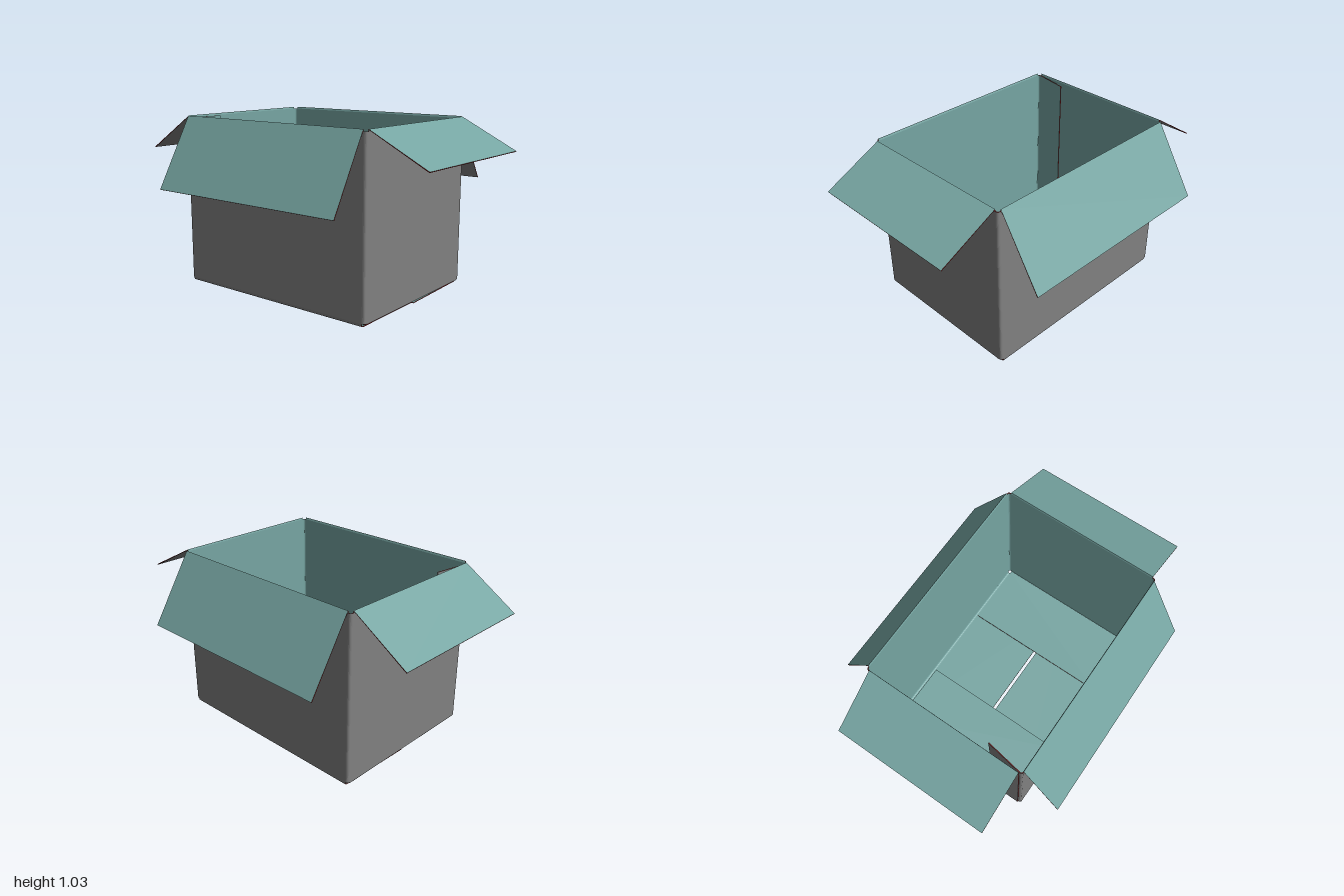
import * as THREE from 'three';

const THICK = 0.005;
const material = (color) => new THREE.MeshStandardMaterial({ color, side: THREE.DoubleSide });
const outerMat = material(0x808080);
const innerMat = material(0x76a5a2);
const edgeMat = material(0x8c1c1c);

// Non-indexed mesh from a list of four-corner faces
function quadMesh(name, quads, mat) {
  const pos = [];
  for (const [a, b, c, d] of quads)
    for (const p of [a, b, c, a, c, d]) pos.push(p.x, p.y, p.z);
  const geo = new THREE.BufferGeometry();
  geo.setAttribute('position', new THREE.Float32BufferAttribute(pos, 3));
  geo.computeVertexNormals();
  const mesh = new THREE.Mesh(geo, mat);
  mesh.name = name;
  return mesh;
}

// Folded board: a path (outer face) thickened to its left and swept from s0 to s1.
// place(u, v, s) puts a path point into space.
function board(name, path, s0, s1, place) {
  const dirs = path.slice(1).map((p, i) => p.clone().sub(path[i]).normalize());
  const inner = path.map((p, i) => {
    const d = dirs[Math.max(i - 1, 0)].clone().add(dirs[Math.min(i, dirs.length - 1)]);
    const n = new THREE.Vector2(-d.y, d.x).normalize();
    return p.clone().addScaledVector(n, THICK);
  });
  const at = (p, s) => place(p.x, p.y, s);
  const outside = [], inside = [], rim = [];
  for (let i = 0; i + 1 < path.length; i++) {
    const [a, b, c, d] = [path[i], path[i + 1], inner[i], inner[i + 1]];
    outside.push([at(a, s0), at(b, s0), at(b, s1), at(a, s1)]);
    inside.push([at(c, s1), at(d, s1), at(d, s0), at(c, s0)]);
    for (const s of [s0, s1]) rim.push([at(a, s), at(b, s), at(d, s), at(c, s)]);
  }
  for (const i of [0, path.length - 1])
    rim.push([at(path[i], s0), at(path[i], s1), at(inner[i], s1), at(inner[i], s0)]);
  const group = new THREE.Group();
  group.name = name;
  group.add(
    quadMesh(name + 'Outside', outside, outerMat),
    quadMesh(name + 'Inside', inside, innerMat),
    quadMesh(name + 'CutEdge', rim, edgeMat)
  );
  return group;
}

const v2 = (x, y) => new THREE.Vector2(x, y);

// Quarter bend between two points around a corner
const bend = (from, corner, to) => new THREE.QuadraticBezierCurve(from, corner, to).getPoints(5);

export function createModel() {
  const box = new THREE.Group();
  box.name = 'openCardboardBox';

  // Outline of the walls in plan
  const X0 = -0.67, X1 = 0.655, Z0 = -0.49, Z1 = 0.507, R = 0.018;

  // Four walls in one wrapped strip, ending in the loose glue tab
  const plan = [
    v2(X0, Z1 - R),
    ...bend(v2(X0, Z0 + R), v2(X0, Z0), v2(X0 + R, Z0)),
    ...bend(v2(X1 - R, Z0), v2(X1, Z0), v2(X1, Z0 + R)),
    ...bend(v2(X1, Z1 - R), v2(X1, Z1), v2(X1 - R, Z1)),
    ...bend(v2(X0 + R + 0.006, Z1), v2(X0 + 0.006, Z1), v2(X0 + 0.007, Z1 - R)),
    v2(-0.628, 0.272),
  ];
  box.add(board('walls', plan, 0.03, 1.02, (x, z, y) => new THREE.Vector3(x, y, z)));

  // Per side: wall distance, top flap tip, bottom flap end and heights, width range
  const alongZ = (sign) => (o, y, s) => new THREE.Vector3(s, y, sign * o);
  const alongX = (sign) => (o, y, s) => new THREE.Vector3(sign * o, y, s);
  const sides = [
    { name: 'front', wall: Z1, tip: [0.735, 0.615], end: 0.02, yEnd: 0.009, yBend: 0.009, range: [-0.65, 0.635], place: alongZ(1) },
    { name: 'back', wall: -Z0, tip: [0.737, 0.63], end: 0, yEnd: 0, yBend: 0.009, range: [-0.65, 0.635], place: alongZ(-1) },
    { name: 'left', wall: X1, tip: [0.998, 0.85], end: 0.235, yEnd: 0.02, yBend: 0.02, range: [-0.468, 0.487], place: alongX(1) },
    { name: 'right', wall: -X0, tip: [0.998, 0.815], end: 0.25, yEnd: 0.02, yBend: 0.02, range: [-0.468, 0.487], place: alongX(-1) },
  ];
  for (const { name, wall, tip, end, yEnd, yBend, range, place } of sides) {
    // Top flap folded outward over the rim
    const top = [v2(wall, 1.02), v2(wall, 1.027), v2(...tip)];
    box.add(board(name + 'TopFlap', top, ...range, place));
    // Bottom flap folded inward with a rounded crease
    const bottom = [
      v2(end, yEnd),
      ...bend(v2(wall - 0.018, yBend), v2(wall, yBend), v2(wall, 0.03)),
    ];
    box.add(board(name + 'BottomFlap', bottom, ...range, place));
  }
  return box;
}
